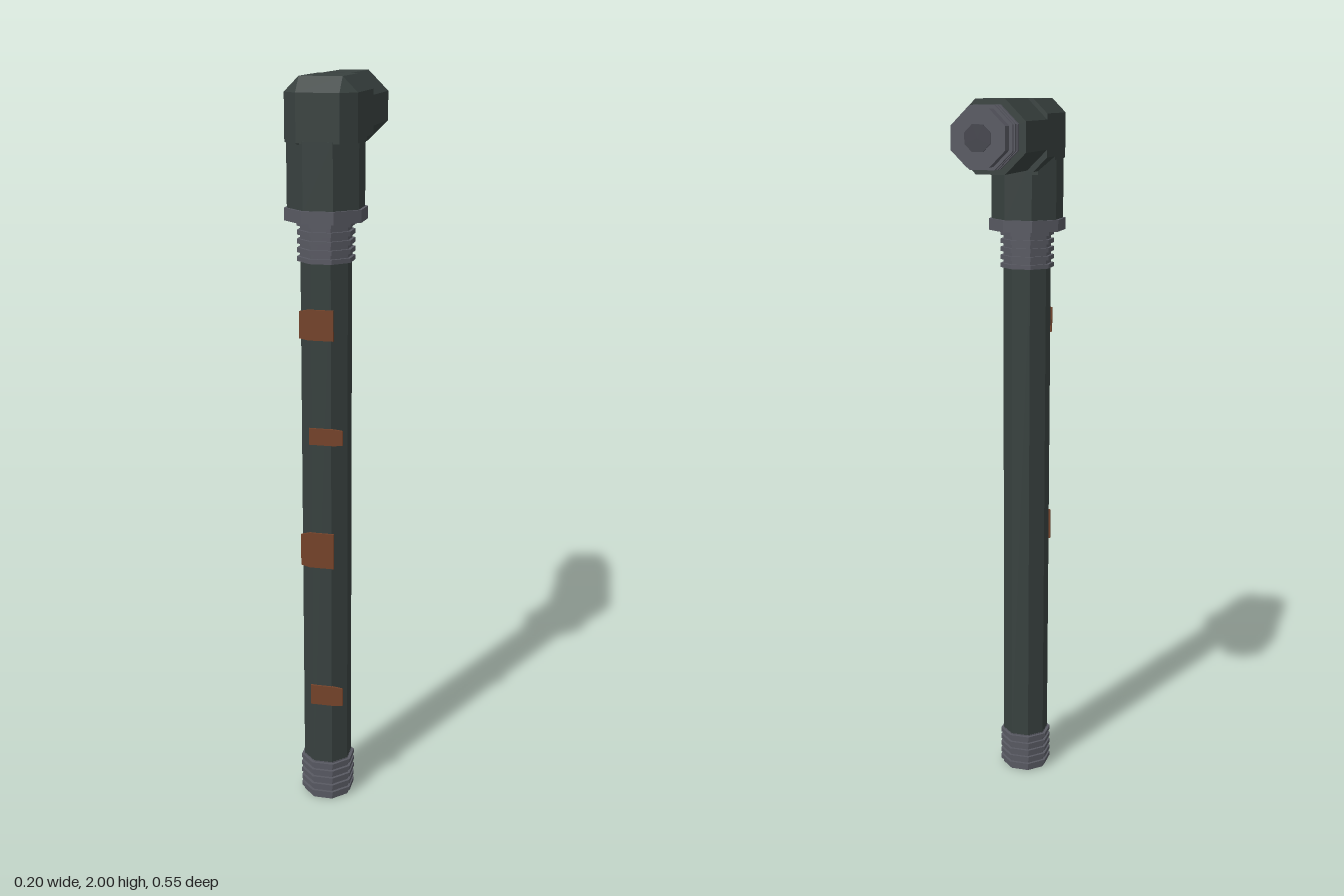
import * as THREE from 'three';

const mat = (name, color) => new THREE.MeshStandardMaterial({ name, color, flatShading: true });

export function createModel() {
  const darkIron = mat('dark iron', 0x38413f);
  const steel = mat('grey steel', 0x585962);
  const bore = mat('dark steel', 0x43444c);
  const rust = mat('rust', 0x75432a);

  const AXIS_Z = 0.175;  // depth of the vertical pipe
  const AXIS_Y = 1.907;  // height of the horizontal arm
  const model = new THREE.Group();
  model.name = 'pipeWithElbow';

  const add = (name, geometry, material, parent = model) => {
    const mesh = new THREE.Mesh(geometry, material);
    mesh.name = name;
    parent.add(mesh);
    return mesh;
  };

  // Octagonal prisms, flat side to the front; size is half the width across flats
  const octagon = (half, length) => {
    const r = half / Math.cos(Math.PI / 8);
    return new THREE.CylinderGeometry(r, r, length, 8).rotateY(Math.PI / 8);
  };
  const upright = (name, half, y0, y1, material) =>
    add(name, octagon(half, y1 - y0).translate(0, (y0 + y1) / 2, AXIS_Z), material);
  const level = (name, half, z0, z1, material) =>
    add(name, octagon(half, z1 - z0).rotateX(Math.PI / 2).translate(0, AXIS_Y, (z0 + z1) / 2), material);

  // Vertical pipe with threaded ends
  upright('pipe', 0.062, 0.115, 1.56, darkIron);
  upright('lowerThreadCore', 0.0625, 0, 0.118, steel);
  upright('upperThreadCore', 0.0625, 1.545, 1.65, steel);
  for (let i = 0; i < 5; i++) {
    upright('lowerThread', 0.07, 0.013 + i * 0.0225, 0.025 + i * 0.0225, steel);
    upright('upperThread', 0.07, 1.541 + i * 0.0225, 1.553 + i * 0.0225, steel);
  }
  upright('collar', 0.1, 1.645, 1.677, steel);

  // Sleeves of the elbow
  upright('lowerSleeve', 0.093, 1.67, 1.845, darkIron);
  level('rearSleeve', 0.093, -0.17, 0.055, darkIron);

  // Elbow body: chamfered square section swept round a bevelled corner
  const W = 0.093, F = 0.055;
  const section = (outer, midOuter, midInner, inner) => [
    [-F, ...outer], [F, ...outer], [W, ...midOuter], [W, ...midInner],
    [F, ...inner], [-F, ...inner], [-W, ...midInner], [-W, ...midOuter],
  ];
  const top = 1.999, high = 1.961, low = 1.848, bottom = 1.81;
  const front = 0.267, near = 0.23, far = 0.12, back = 0.082, end = 0.035;
  const sections = [
    section([1.84, front], [1.84, near], [1.838, far], [1.8, back]),
    section([high, front], [high, near], [low, far], [bottom, back]),
    section([top, near], [high, near], [low, far], [bottom, back]),
    section([top, end], [high, end], [low, end], [bottom, end]),
  ];
  const index = [];
  for (let s = 0; s < 3; s++) {
    for (let i = 0; i < 8; i++) {
      const a = s * 8 + i, b = s * 8 + (i + 1) % 8;
      index.push(a, b, b + 8, a, b + 8, a + 8);
    }
  }
  for (let i = 1; i < 7; i++) {
    index.push(0, i + 1, i, 24, 24 + i, 25 + i); // end caps
  }
  let elbow = new THREE.BufferGeometry();
  elbow.setAttribute('position', new THREE.Float32BufferAttribute(sections.flat(2), 3));
  elbow.setIndex(index);
  elbow = elbow.toNonIndexed();
  elbow.computeVertexNormals();
  add('elbow', elbow, darkIron);

  // Threaded nozzle at the rear
  level('nozzle', 0.07, -0.273, -0.165, steel);
  for (let i = 0; i < 3; i++) {
    level('nozzleThread', 0.078, -0.238 + i * 0.0235, -0.227 + i * 0.0235, steel);
  }
  level('nozzleBore', 0.033, -0.277, -0.27, bore);

  // Rust plates on the front, tapering where they overhang the pipe
  const plate = (y0, y1, side) => {
    const m = (y0 + y1) / 2, h = (y1 - y0) / 2;
    const points = [[-0.033, h], [0.033, h], [0.057, h * 0.88], [0.057, -h * 0.88], [0.033, -h], [-0.033, -h]];
    const shape = new THREE.Shape(points.map(([x, y]) => new THREE.Vector2(x * side, y)));
    const geometry = new THREE.ExtrudeGeometry(shape, { depth: 0.006, bevelEnabled: false });
    add('rustPlate', geometry.translate(0, m, 0.236), rust);
  };
  plate(1.343, 1.423, -1);
  plate(1.062, 1.107, 1);
  plate(0.713, 0.813, -1);
  plate(0.3, 0.358, 1);

  return model;
}
